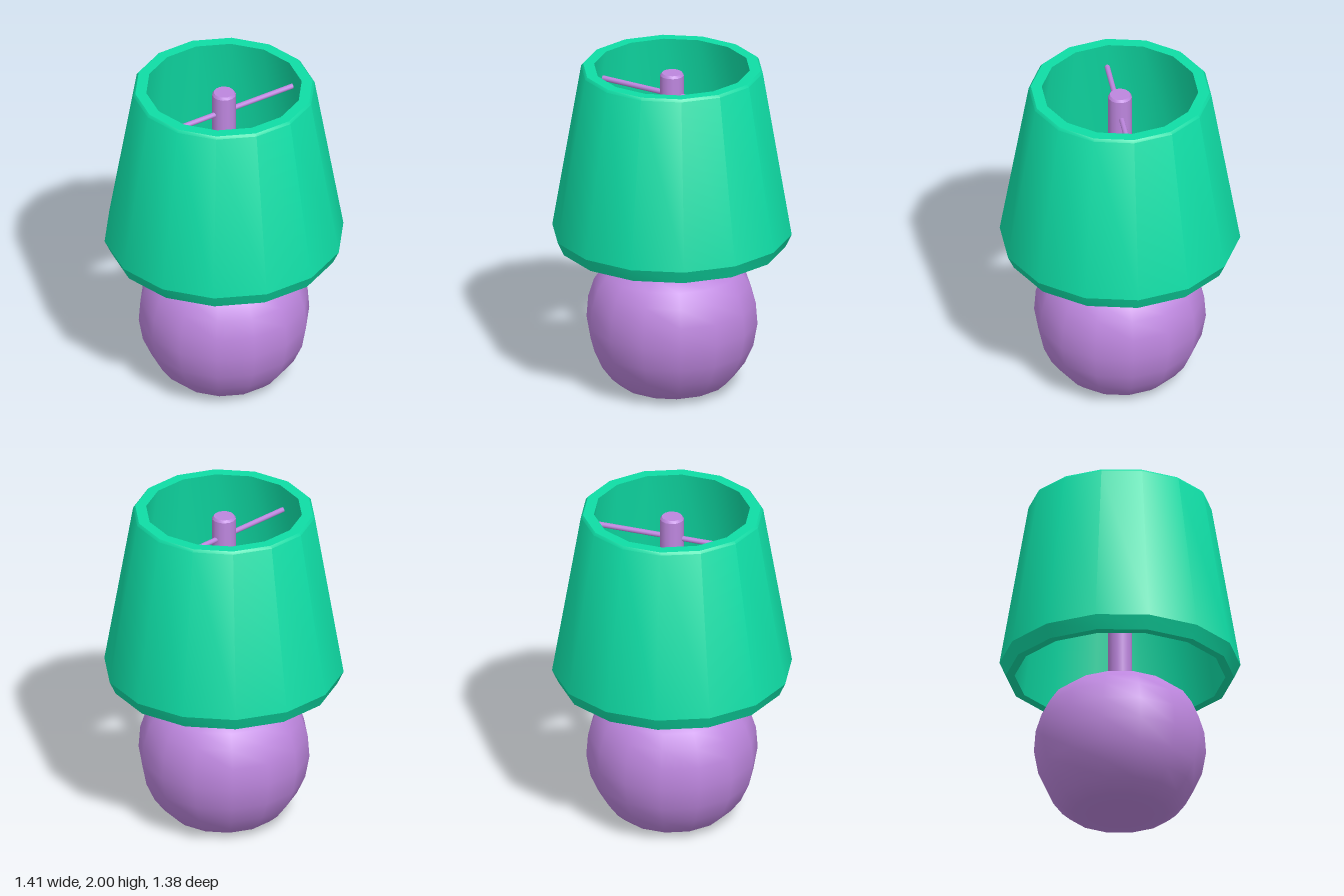
import * as THREE from 'three';
import { toCreasedNormals } from 'three/addons/utils/BufferGeometryUtils.js';

const SIDES = 14;

// Revolve a [radius, height] profile, with a corner on the x axis
function turned(name, profile, material, crease) {
  const points = profile.map(([r, y]) => new THREE.Vector2(r, y));
  const lathe = new THREE.LatheGeometry(points, SIDES, Math.PI / 2);
  const mesh = new THREE.Mesh(toCreasedNormals(lathe, crease), material);
  mesh.name = name;
  return mesh;
}

export function createModel() {
  const lamp = new THREE.Group();
  lamp.name = 'tableLamp';
  const purple = new THREE.MeshStandardMaterial({ color: 0xbd86de });
  const green = new THREE.MeshStandardMaterial({ color: 0x0fdca5 });

  // Round body with a flat foot
  lamp.add(turned('base', [
    [0, 0], [0.27, 0.014], [0.32, 0.035], [0.37, 0.08], [0.43, 0.16],
    [0.48, 0.27], [0.505, 0.41], [0.495, 0.54], [0.46, 0.65], [0.405, 0.73],
    [0.33, 0.785], [0.22, 0.83], [0.07, 0.865], [0, 0.868],
  ], purple, 0.6));

  // Central pole with a bevelled top
  lamp.add(turned('pole', [
    [0, 0.84], [0.07, 0.84], [0.07, 1.95], [0.06, 1.965], [0, 1.965],
  ], purple, 0.5));

  // Hollow shade: up the outside, over the rim, down the inside
  lamp.add(turned('shade', [
    [0.67, 0.9], [0.707, 0.98], [0.537, 1.985], [0.525, 2],
    [0.46, 2], [0.618, 0.9], [0.67, 0.9],
  ], green, 0.5));

  // Cross rod holding the shade
  const rod = new THREE.Mesh(new THREE.CylinderGeometry(0.016, 0.016, 0.98, 10), purple);
  rod.name = 'shadeRod';
  rod.rotation.z = Math.PI / 2;
  rod.position.y = 1.83;
  lamp.add(rod);

  return lamp;
}
